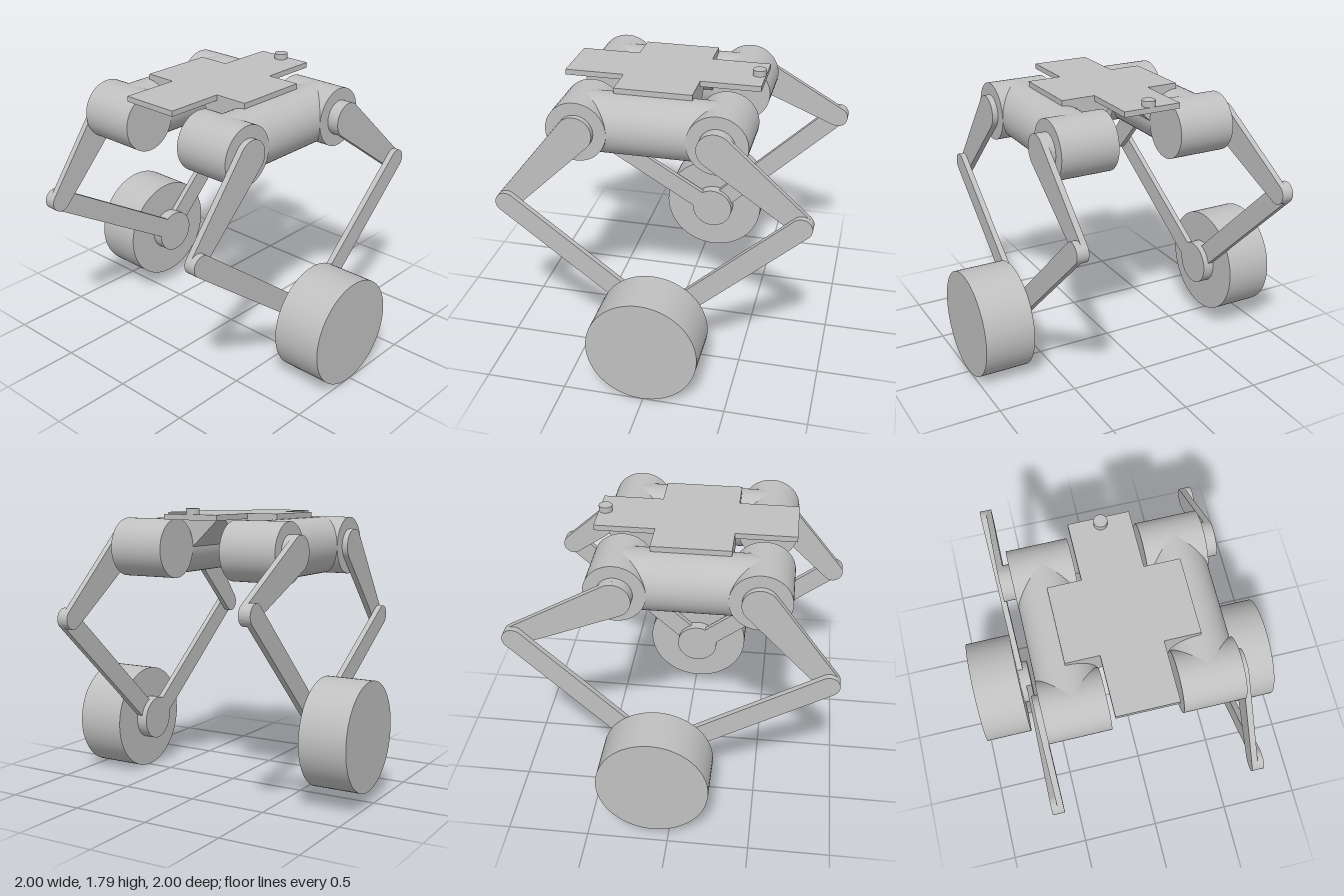
import * as THREE from 'three';
import { toCreasedNormals } from 'three/addons/utils/BufferGeometryUtils.js';

const grey = new THREE.MeshStandardMaterial({ color: 0xc0c0c0 });
grey.name = 'light grey';

function add(parent, name, geometry) {
  const mesh = new THREE.Mesh(geometry, grey);
  mesh.name = name;
  parent.add(mesh);
  return mesh;
}

// Cylinder along z between two depths
function discZ(parent, name, [x, y], r, z0, z1) {
  const g = new THREE.CylinderGeometry(r, r, Math.abs(z1 - z0), 64).rotateX(Math.PI / 2);
  add(parent, name, g).position.set(x, y, (z0 + z1) / 2);
}

// Round-ended bar, tapering from radius r1 at a to r2 at b
function link(parent, name, a, b, r1, r2, z0, z1) {
  const dx = b[0] - a[0], dy = b[1] - a[1], len = Math.hypot(dx, dy);
  const t = Math.acos((r1 - r2) / len);
  const s = new THREE.Shape();
  s.absarc(0, 0, r1, t, Math.PI * 2 - t, false);
  s.absarc(len, 0, r2, -t, t, false);
  const g = new THREE.ExtrudeGeometry(s, { depth: Math.abs(z1 - z0), bevelEnabled: false, curveSegments: 24 });
  const mesh = add(parent, name, toCreasedNormals(g, 0.6));
  mesh.position.set(a[0], a[1], Math.min(z0, z1));
  mesh.rotation.z = Math.atan2(dy, dx);
}

const HIP_Y = 1.535, HIP_X = [-0.492, 0.343], BODY_R = 0.183;

// One five-bar leg with its motors and wheel; side is +1 front, -1 rear
function makeLeg(name, side, zIn, kneeL, kneeR, axle) {
  const leg = new THREE.Group();
  leg.name = name;
  const zOut = zIn + 0.368, step = 0.037;
  const z = (n) => side * (zOut + n * step);
  const [hipL, hipR] = HIP_X.map((x) => [x, HIP_Y]);

  // Hip motors and the tube joining them
  discZ(leg, 'rightMotor', hipL, BODY_R, side * zIn, side * zOut);
  discZ(leg, 'leftMotor', hipR, BODY_R, side * zIn, side * zOut);
  const tube = new THREE.CylinderGeometry(BODY_R, BODY_R, HIP_X[1] - HIP_X[0], 64).rotateZ(Math.PI / 2);
  add(leg, 'bodyTube', tube).position.set((HIP_X[0] + HIP_X[1]) / 2, HIP_Y, side * (zIn + zOut) / 2);

  // Arms and lower links, stacked in layers outwards
  link(leg, 'rightUpperArm', hipL, kneeL, 0.107, 0.065, z(0), z(1));
  link(leg, 'rightLowerLink', kneeL, axle, 0.065, 0.065, z(1), z(2));
  discZ(leg, 'leftHipHub', hipR, 0.107, z(0), z(1));
  link(leg, 'leftUpperArm', hipR, kneeR, 0.107, 0.065, z(1), z(2));
  link(leg, 'leftLowerLink', kneeR, axle, 0.065, 0.065, z(2), z(3));

  // Wheel hub and wheel
  discZ(leg, 'wheelHub', axle, 0.14, z(1), z(3));
  discZ(leg, 'wheel', axle, 0.34, z(3), side);
  return leg;
}

export function createModel() {
  const model = new THREE.Group();
  model.name = 'twoWheeledRobot';

  model.add(makeLeg('frontLeg', 1, 0.202, [-0.935, 1.05], [0.857, 1.125], [-0.01, 0.34]));
  model.add(makeLeg('rearLeg', -1, 0.217, [-0.912, 1.035], [0.933, 1.245], [0.09, 0.435]));

  // Cross-shaped top plate
  const [x0, x1, x2, x3] = [-0.675, -0.31, 0.16, 0.525];
  const [z0, z1, z2, z3] = [-0.4, -0.198, 0.17, 0.385];
  const cross = new THREE.Shape([
    [x1, z0], [x2, z0], [x2, z1], [x3, z1], [x3, z2], [x2, z2],
    [x2, z3], [x1, z3], [x1, z2], [x0, z2], [x0, z1], [x1, z1],
  ].map(([x, z]) => new THREE.Vector2(x, -z)));
  const plate = new THREE.ExtrudeGeometry(cross, { depth: 0.034, bevelEnabled: false }).rotateX(-Math.PI / 2);
  add(model, 'topPlate', plate).position.y = 1.718;

  // Sloped brackets between the plate and each body tube
  for (const side of [1, -1]) {
    const mid = -0.0075;
    const profile = new THREE.Shape([
      [0.015, 1.72], [0.21, 1.535], [0.392, 1.535], [0.392, 1.72],
    ].map(([z, y]) => new THREE.Vector2(-(side * z + mid), y)));
    const g = new THREE.ExtrudeGeometry(profile, { depth: x2 - x1, bevelEnabled: false }).rotateY(Math.PI / 2);
    add(model, side > 0 ? 'frontBracket' : 'rearBracket', g).position.x = x1;
  }

  // Small button on the plate
  const knob = new THREE.CylinderGeometry(0.041, 0.041, 0.04, 32);
  add(model, 'knob', knob).position.set(0.485, 1.768, -0.01);

  return model;
}
